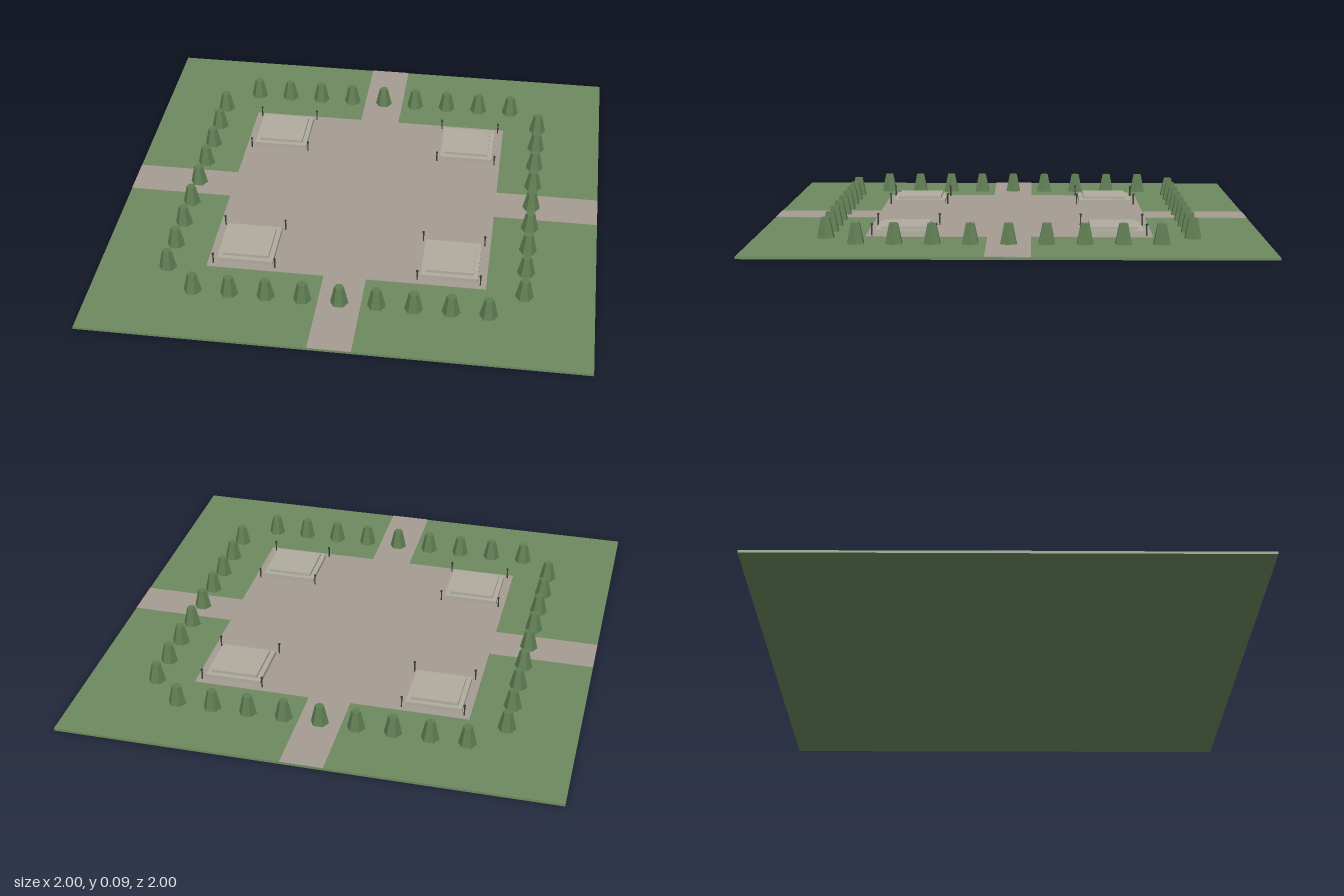
import * as THREE from 'three';

const paint = (color) => new THREE.MeshStandardMaterial({ color, flatShading: true });

export function createModel() {
  const model = new THREE.Group();
  model.name = 'park';
  const grass = paint(0x6d8a5f), paving = paint(0xa59c92), stone = paint(0xb0ac9f);
  const leaf = paint(0x5f7d52), metal = paint(0x3a3d3a);

  const add = (parent, name, geometry, material, x, y, z) => {
    const mesh = new THREE.Mesh(geometry, material);
    mesh.name = name;
    mesh.position.set(x, y, z);
    parent.add(mesh);
    return mesh;
  };

  // Lawn slab
  add(model, 'lawn', new THREE.BoxGeometry(2, 0.01, 2), grass, 0, 0.005, 0);

  // Square plaza with a path leaving from each side, as one outline
  const p = 0.567, w = 0.086;
  const outline = [];
  const quarter = [[1, -w], [1, w], [p, w], [p, p], [w, p]];
  for (let i = 0; i < 4; i++) {
    for (const [x, y] of quarter) {
      outline.push(new THREE.Vector2(x, y).rotateAround(new THREE.Vector2(), i * Math.PI / 2));
    }
  }
  const plaza = new THREE.ExtrudeGeometry(new THREE.Shape(outline), { depth: 0.002, bevelEnabled: false });
  plaza.rotateX(-Math.PI / 2);
  add(model, 'plaza', plaza, paving, 0, 0.01, 0);

  // Stepped platforms with a slim post at each corner
  const lower = new THREE.BoxGeometry(0.23, 0.018, 0.23);
  const upper = new THREE.BoxGeometry(0.19, 0.012, 0.19);
  const post = new THREE.CylinderGeometry(0.003, 0.003, 0.044, 6);
  const cap = new THREE.CylinderGeometry(0.005, 0.005, 0.006, 6);
  for (const sx of [-1, 1]) for (const sz of [-1, 1]) {
    const platform = new THREE.Group();
    platform.name = 'platform';
    platform.position.set(sx * 0.416, 0.012, sz * 0.416);
    model.add(platform);
    add(platform, 'lowerStep', lower, stone, 0, 0.009, 0);
    add(platform, 'upperStep', upper, stone, 0, 0.024, 0);
    for (const px of [-0.127, 0.127]) for (const pz of [-0.127, 0.127]) {
      add(platform, 'post', post, metal, px, 0.022, pz);
      add(platform, 'postCap', cap, metal, px, 0.045, pz);
    }
  }

  // Rows of tapered six-sided trees along all four sides
  const tree = new THREE.CylinderGeometry(0.019, 0.037, 0.08, 6);
  tree.rotateY(Math.PI / 6);
  for (let i = -4; i <= 4; i++) {
    for (const side of [-0.72, 0.72]) {
      add(model, 'tree', tree, leaf, i * 0.147, 0.051, side);
      add(model, 'tree', tree, leaf, side, 0.051, i * 0.147);
    }
  }
  return model;
}
